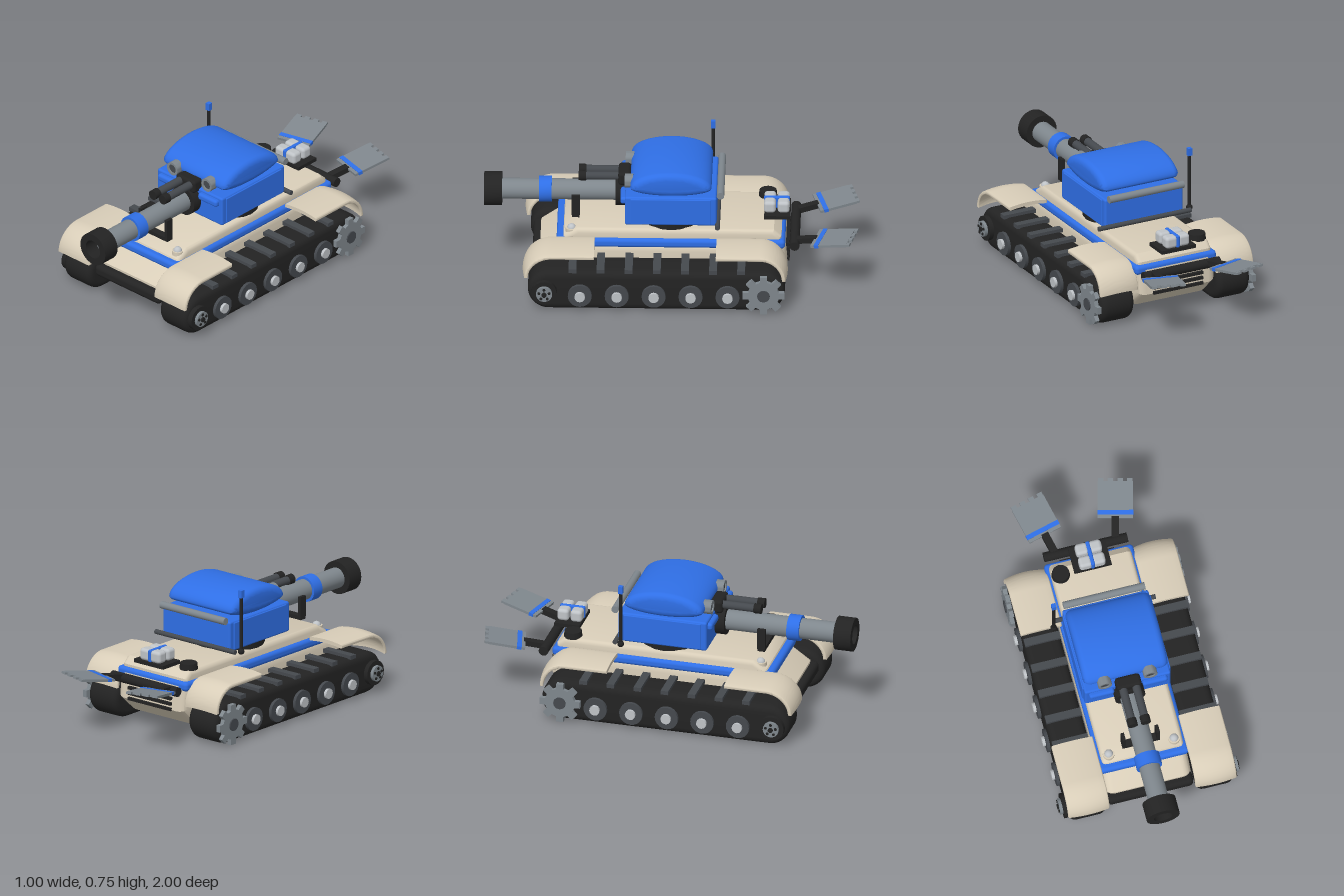
import * as THREE from 'three';
import { toCreasedNormals } from 'three/addons/utils/BufferGeometryUtils.js';
import { RoundedBoxGeometry } from 'three/addons/geometries/RoundedBoxGeometry.js';

const mat = (color) => new THREE.MeshStandardMaterial({ color, side: THREE.DoubleSide });
const CREAM = mat(0xd8cdb8), BLUE = mat(0x2f6fe6), BLACK = mat(0x232323),
  GREY = mat(0x7f878d), DARK = mat(0x45494e), LIGHT = mat(0xbfc3c7);

export function createModel() {
  const model = new THREE.Group();

  const add = (name, geo, material, x = 0, y = 0, z = 0, parent = model) => {
    const m = new THREE.Mesh(geo, material);
    m.name = name;
    m.position.set(x, y, z);
    parent.add(m);
    return m;
  };
  const box = (w, h, d) => new THREE.BoxGeometry(w, h, d);
  const round = (w, h, d, r = 0.01) => new RoundedBoxGeometry(w, h, d, 3, r);
  const cylX = (r, len, n = 20) => new THREE.CylinderGeometry(r, r, len, n).rotateZ(Math.PI / 2);
  const cylY = (r, len, r2 = r, n = 20) => new THREE.CylinderGeometry(r2, r, len, n);
  const cylZ = (r, len, n = 20) => new THREE.CylinderGeometry(r, r, len, n).rotateX(Math.PI / 2);
  // hollow cylinder along z
  const tubeZ = (ro, ri, len, n = 28) => toCreasedNormals(new THREE.LatheGeometry(
    [[ri, -len / 2], [ro, -len / 2], [ro, len / 2], [ri, len / 2], [ri, -len / 2]]
      .map(([r, y]) => new THREE.Vector2(r, y)), n).rotateX(Math.PI / 2), 0.6);
  // side profile (z, y) extruded across x, with rounded edges
  const across = (shape, width, bevel, steps = 1, crease = 0.6) => {
    const g = new THREE.ExtrudeGeometry(shape, {
      depth: width - 2 * bevel, steps, curveSegments: 14, bevelEnabled: bevel > 0,
      bevelSize: bevel, bevelThickness: bevel, bevelOffset: -bevel, bevelSegments: 4,
    });
    g.translate(0, 0, bevel - width / 2).rotateY(-Math.PI / 2);
    return toCreasedNormals(g, crease);
  };
  const poly = (pts) => new THREE.Shape(pts.map(([a, b]) => new THREE.Vector2(a, b)));
  const sides = (fn) => [1, -1].forEach(fn);

  // Hull
  add('lowerHull', across(poly([[0.57, 0.3], [0.7, 0.21], [0.7, 0.13], [0.59, 0.07],
    [-0.52, 0.07], [-0.62, 0.16], [-0.61, 0.3]]), 0.476, 0.05), CREAM);
  add('hullBelt', round(0.49, 0.052, 1.22, 0.02), BLUE, 0, 0.3, 0);
  add('upperHull', across(poly([[0.585, 0.3], [0.57, 0.335], [0.5, 0.377], [-0.55, 0.377],
    [-0.59, 0.34], [-0.59, 0.3]]), 0.45, 0.025), CREAM);
  add('frontBumper', round(0.475, 0.068, 0.08, 0.025), BLACK, 0, 0.163, 0.7);
  for (let i = 0; i < 4; i++)
    add('rearLouver', box(0.3, 0.016, 0.03), BLACK, 0, 0.165 + i * 0.03, -0.617);

  // Fenders: flat top with a curved drop, crowned across their width
  const fender = (z0, zc, z1, drop) => {
    const s = new THREE.Shape(), top = 0.347, t = 0.02, rx = z1 - zc, ry = top - drop;
    s.moveTo(z0, top - t);
    s.lineTo(z0, top);
    s.lineTo(zc, top);
    s.absellipse(zc, drop, rx, ry, Math.PI / 2, 0, true);
    s.lineTo(z1 - t, drop);
    s.absellipse(zc, drop, rx - t, ry - t, 0, Math.PI / 2, false);
    const g = across(s, 0.228, 0.006, 8, 0.8), p = g.attributes.position;
    for (let i = 0; i < p.count; i++) {
      const k = (p.getX(i) / 0.114) ** 2;
      p.setY(i, p.getY(i) - 0.01 * k);
      if (p.getZ(i) > zc) p.setZ(i, p.getZ(i) - 0.012 * k * (p.getZ(i) - zc) / rx);
    }
    return toCreasedNormals(g, 0.8);
  };
  const frontFender = fender(0.405, 0.63, 0.787, 0.212);
  const rearFender = fender(0.245, 0.48, 0.627, 0.207).rotateY(Math.PI);

  // Running gear
  const loop = new THREE.Shape();
  loop.absarc(0.645, 0.121, 0.113, Math.PI / 2, -Math.PI / 2, true);
  loop.absarc(-0.5, 0.121, 0.113, -Math.PI / 2, -Math.PI * 1.5, true);
  const trackGeo = across(loop, 0.2, 0.035, 1, 0.7);
  const teeth = [];
  for (let i = 0; i < 8; i++)
    [[-0.24, 0.083], [-0.17, 0.113], [0.17, 0.113], [0.24, 0.083]].forEach(([da, r]) => {
      const a = i * Math.PI / 4 + da;
      teeth.push([r * Math.cos(a), r * Math.sin(a)]);
    });
  const sprocketGeo = across(poly(teeth), 0.024, 0);

  sides((s) => {
    const gear = new THREE.Group();
    gear.name = s > 0 ? 'leftRunningGear' : 'rightRunningGear';
    model.add(gear);
    const put = (name, geo, m, x, y, z) => add(name, geo, m, s * x, y, z, gear);
    put('frontFender', frontFender, CREAM, 0.35, 0, 0);
    put('rearFender', rearFender, CREAM, 0.35, 0, 0);
    put('track', trackGeo, BLACK, 0.35, 0, 0);
    for (let i = 0; i < 7; i++)
      put('trackPad', box(0.194, 0.022, 0.042), DARK, 0.35, 0.24, -0.38 + i * 0.15);
    for (let i = 0; i < 5; i++) {
      const z = 0.48 - i * 0.197;
      put('roadWheel', cylX(0.064, 0.025), DARK, 0.455, 0.1, z);
      put('wheelHub', cylX(0.028, 0.03, 12), LIGHT, 0.468, 0.1, z);
    }
    put('idlerWheel', cylX(0.068, 0.03), BLACK, 0.46, 0.12, 0.67);
    put('idlerHub', cylX(0.043, 0.03), GREY, 0.477, 0.12, 0.67);
    put('idlerCap', cylX(0.014, 0.04, 10), BLACK, 0.48, 0.12, 0.67);
    for (let i = 0; i < 5; i++) {
      const a = i * Math.PI * 0.4 + 0.3;
      put('idlerBolt', cylX(0.008, 0.02, 8), BLACK, 0.486, 0.12 + 0.029 * Math.sin(a), 0.67 + 0.029 * Math.cos(a));
    }
    put('sprocket', sprocketGeo, GREY, 0.469, 0.12, -0.5);
    put('sprocketHub', cylX(0.034, 0.04, 12), DARK, 0.468, 0.12, -0.5);

    // Deck lamps
    add('lampBase', cylY(0.032, 0.03), CREAM, s * 0.18, 0.348, 0.53);
    add('lampDome', new THREE.SphereGeometry(0.024, 16, 10), LIGHT, s * 0.18, 0.36, 0.53);

    // Rear paddles on angled arms
    const paddle = new THREE.Group();
    paddle.name = 'rearPaddle';
    paddle.position.set(s * 0.165, 0.293, -0.66);
    paddle.rotation.set(0.17, -s * 0.25, 0, 'YXZ');
    model.add(paddle);
    add('paddleArm', box(0.04, 0.03, 0.13), BLACK, 0, 0, -0.06, paddle);
    add('paddleBlade', box(0.19, 0.014, 0.2), GREY, 0, 0.004, -0.215, paddle);
    add('paddleStripe', box(0.193, 0.018, 0.025), BLUE, 0, 0.004, -0.147, paddle);
    for (let i = 0; i < 4; i++)
      add('paddleTooth', box(0.03, 0.012, 0.022), GREY, -0.078 + i * 0.052, 0.004, -0.322, paddle);
  });
  add('paddleBar', cylX(0.026, 0.46), BLACK, 0, 0.287, -0.66);

  // Turret
  add('turretRing', cylY(0.21, 0.04).scale(1.05, 1, 0.9), BLACK, 0, 0.393, 0);
  add('turretBody', round(0.474, 0.168, 0.49, 0.012), BLUE, 0, 0.493, 0);
  sides((s) => {
    add('sidePanel', round(0.012, 0.15, 0.43, 0.004), BLUE, s * 0.237, 0.493, 0);
    add('browBar', round(0.138, 0.04, 0.04, 0.015), BLUE, s * 0.147, 0.543, 0.25);
    add('sightRing', tubeZ(0.038, 0.025, 0.045), GREY, s * 0.125, 0.62, 0.225);
    add('sightLens', cylZ(0.026, 0.03), DARK, s * 0.125, 0.62, 0.225);
  });
  const lid = new THREE.Shape();
  lid.absellipse(0, 0.62, 0.217, 0.092, 0, Math.PI, false);
  lid.absellipse(0, 0.62, 0.217, 0.045, Math.PI, Math.PI * 2, false);
  add('turretLid', across(lid, 0.466, 0.035, 1, 0.9), BLUE);
  add('rearRoll', cylX(0.02, 0.45), GREY, 0, 0.585, -0.265);
  add('rearRod', cylX(0.013, 0.56), DARK, 0, 0.42, -0.25);

  // Antenna
  add('antennaBase', new THREE.SphereGeometry(0.018, 12, 10), BLACK, -0.29, 0.42, -0.215);
  add('antennaMast', cylY(0.01, 0.3), BLACK, -0.29, 0.57, -0.215);
  add('antennaTip', box(0.024, 0.042, 0.024), BLUE, -0.29, 0.742, -0.215);

  // Main gun
  add('mantlet', tubeZ(0.083, 0.054, 0.06), BLACK, 0, 0.497, 0.268);
  add('barrel', tubeZ(0.056, 0.05, 0.68), GREY, 0, 0.497, 0.58);
  add('barrelBand', tubeZ(0.07, 0.055, 0.068), BLUE, 0, 0.497, 0.673);
  add('muzzle', tubeZ(0.091, 0.052, 0.096), BLACK, 0, 0.497, 0.952);
  add('boreBlock', round(0.066, 0.062, 0.06, 0.018), LIGHT, 0, 0.482, 0.86);
  sides((s) => add('cradlePost', box(0.018, 0.115, 0.045), BLACK, s * 0.094, 0.452, 0.51));
  add('cradleBar', box(0.206, 0.022, 0.04), BLACK, 0, 0.392, 0.51);

  // Twin upper guns
  add('gunMount', round(0.138, 0.075, 0.07, 0.018), BLACK, 0, 0.592, 0.25);
  sides((s) => {
    add('upperGun', cylZ(0.022, 0.27), DARK, s * 0.036, 0.6, 0.355);
    add('upperGunMuzzle', cylZ(0.027, 0.04), BLACK, s * 0.036, 0.6, 0.475);
  });

  // Rear deck stowage
  add('deckCap', cylY(0.05, 0.035, 0.046), BLACK, -0.175, 0.39, -0.51);
  add('stowageTray', box(0.205, 0.02, 0.14), BLACK, 0, 0.39, -0.565);
  sides((s) => {
    [-0.525, -0.598].forEach((z) => add('canister', round(0.07, 0.066, 0.064, 0.018), LIGHT, s * 0.037, 0.432, z));
  });
  add('stowageStrap', round(0.022, 0.069, 0.138, 0.008), BLUE, 0, 0.432, -0.561);
  return model;
}
